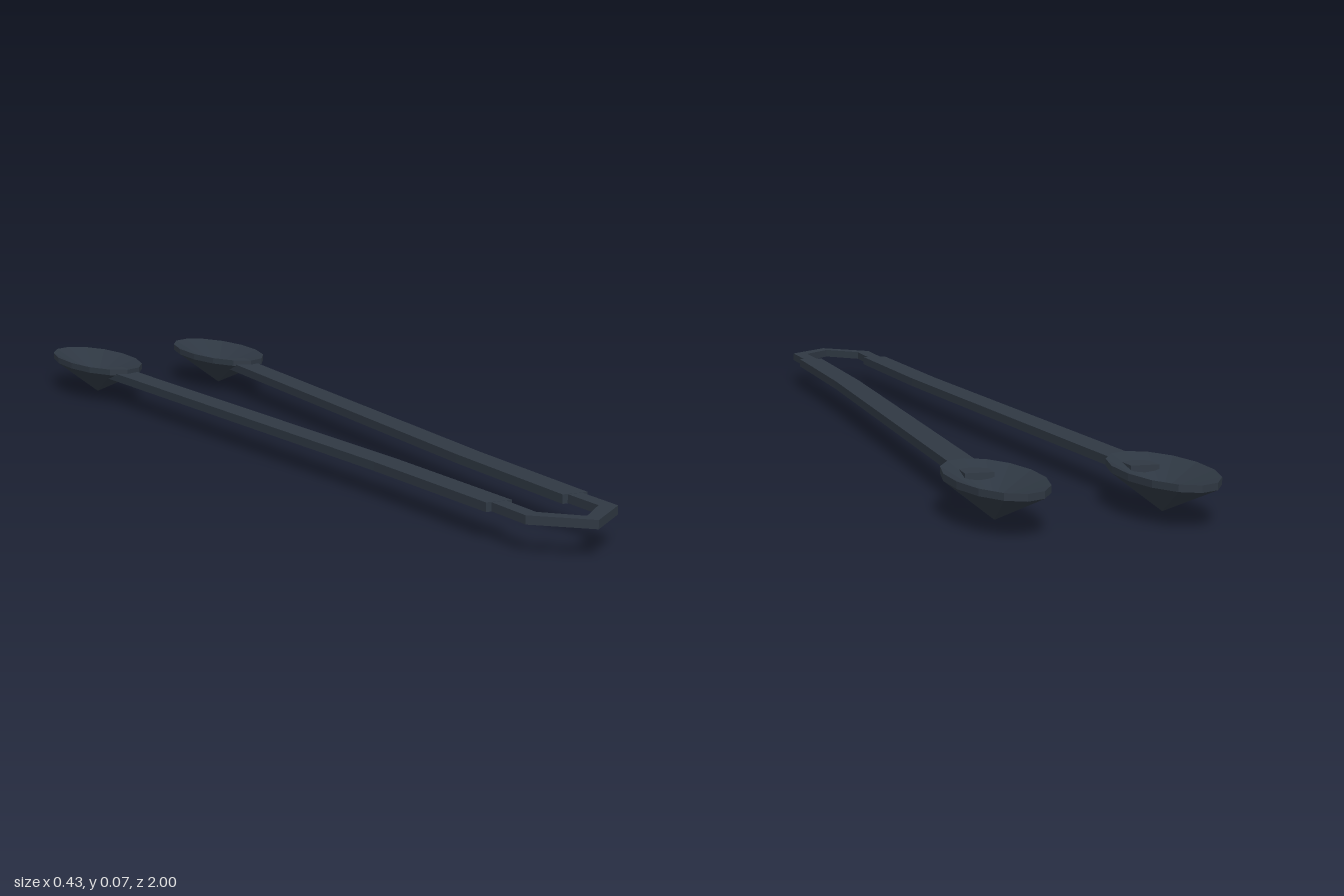
import * as THREE from 'three';

const material = new THREE.MeshStandardMaterial({ color: 0x2f3843, flatShading: true });

// Flat bar from an outline of [x, z] points, between two heights
function bar(name, points, bottom, top) {
  const shape = new THREE.Shape(points.map(([x, z]) => new THREE.Vector2(x, -z)));
  const geometry = new THREE.ExtrudeGeometry(shape, { depth: top - bottom, bevelEnabled: false });
  geometry.rotateX(-Math.PI / 2).translate(0, bottom, 0);
  const mesh = new THREE.Mesh(geometry, material);
  mesh.name = name;
  return mesh;
}

// Faceted oval scoop: pointed underside, short upright rim, dished top
function scoop(name, x) {
  const profile = [[0, 0], [1, 0.06], [1, 0.072], [0, 0.032]].map(([r, y]) => new THREE.Vector2(r, y));
  const geometry = new THREE.LatheGeometry(profile, 14);
  geometry.scale(0.076, 1, 0.1775);
  const mesh = new THREE.Mesh(geometry, material);
  mesh.name = name;
  mesh.position.set(x, 0, -0.8225);
  return mesh;
}

export function createModel() {
  const group = new THREE.Group();
  group.name = 'tongs';

  // Arms bend slightly near the grip and end inside the scoops
  const arm = [
    [0.048, 0.81], [0.096, 0.81], [0.106, 0.43], [0.168, -0.74], [0.118, -0.74], [0.057, 0.43],
  ];
  for (const [side, s] of [['left', 1], ['right', -1]]) {
    group.add(bar(side + 'Arm', arm.map(([x, z]) => [s * x, z]), 0.047, 0.063));
    group.add(scoop(side + 'Scoop', s * 0.1425));
  }

  // Narrow pointed spring joining both arms
  const outer = [[0.086, 0.79], [0.086, 0.92], [0, 1]];
  const inner = [[0, 0.965], [0.058, 0.905], [0.058, 0.79]];
  const mirror = (pts) => pts.map(([x, z]) => [-x, z]).reverse();
  group.add(bar('spring', [
    ...outer, ...mirror(outer).slice(1), ...mirror(inner), ...inner.slice(1),
  ], 0.0475, 0.0625));

  return group;
}
